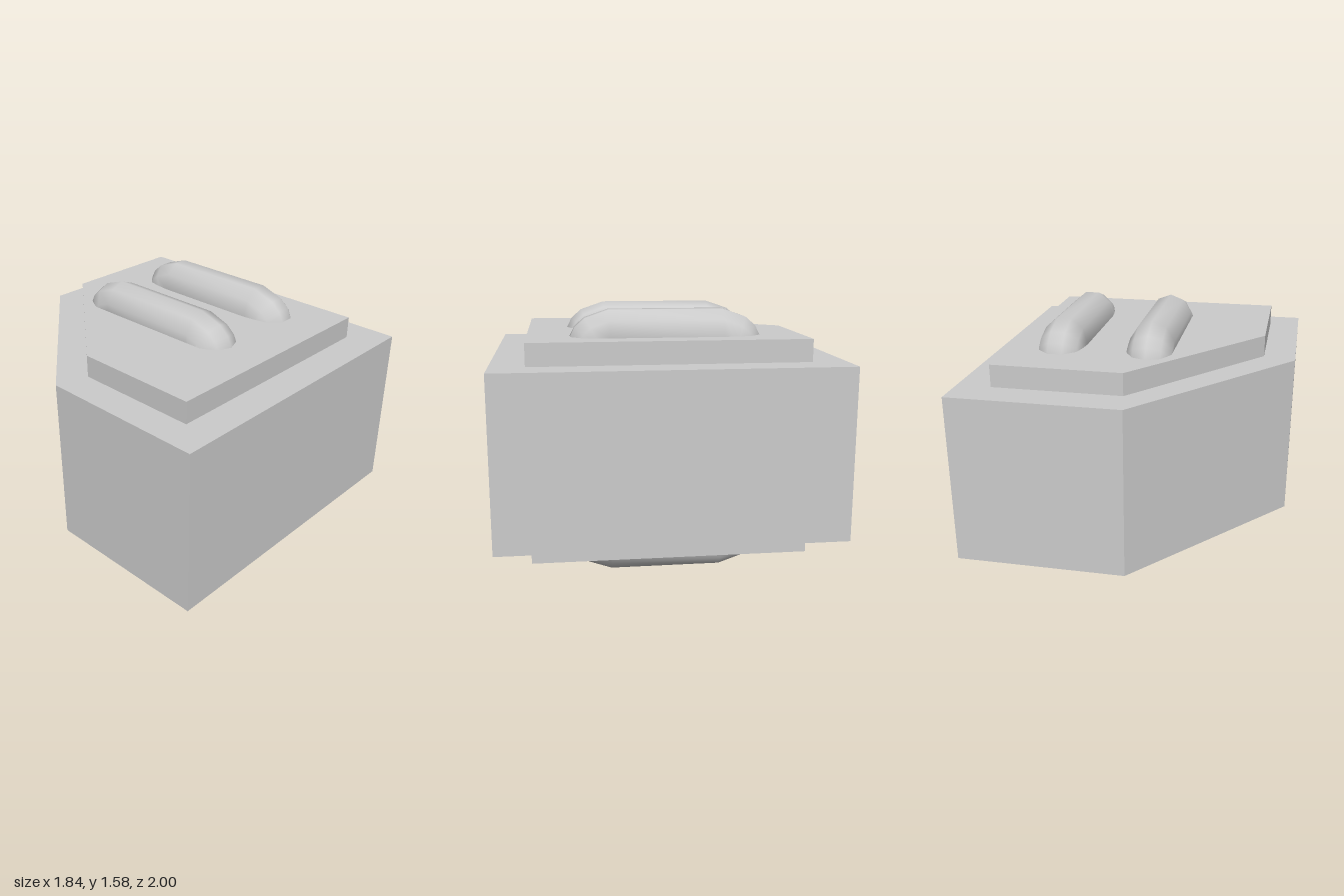
import * as THREE from 'three';

const grey = new THREE.MeshStandardMaterial({ color: 0xcccccc });
const MID = 0.79; // height of the horizontal symmetry plane

// Upright prism from a plan outline of [x, z] corners
function prism(name, outline, y0, y1) {
  const shape = new THREE.Shape(outline.map(([x, z]) => new THREE.Vector2(x, -z)));
  const geo = new THREE.ExtrudeGeometry(shape, { depth: y1 - y0, bevelEnabled: false });
  geo.rotateX(-Math.PI / 2);
  geo.translate(0, y0, 0);
  const mesh = new THREE.Mesh(geo, grey);
  mesh.name = name;
  return mesh;
}

// Rounded band running around the block in the yz plane; turn shifts its facets
function band(name, x, turn) {
  // Quarter of the outer path: z, height above the middle, outward tilt in degrees
  const quarter = [
    [0.33, 0.79, 0], [0.47, 0.742, 30], [0.53, 0.69, 50],
    [0.57, 0.61, 75], [0.58, 0.5, 90],
  ];
  const stations = [];
  for (const [sz, sy] of [[1, 1], [1, -1], [-1, -1], [-1, 1]]) {
    const part = quarter.map(([z, y, deg]) => {
      const a = THREE.MathUtils.degToRad(deg);
      return { z: z * sz, y: y * sy, nz: Math.sin(a) * sz, ny: Math.cos(a) * sy };
    });
    stations.push(...(sz * sy > 0 ? part : part.reverse()));
  }

  const sides = 10, rx = 0.138, depth = 0.16;
  const positions = [], index = [];
  stations.forEach((s, i) => {
    const next = (i + 1) % stations.length;
    for (let j = 0; j < sides; j++) {
      const a = ((j + turn) / sides) * Math.PI * 2;
      const inset = depth * (1 - Math.cos(a));
      positions.push(x + rx * Math.sin(a), MID + s.y - s.ny * inset, s.z - s.nz * inset);
      const k = (j + 1) % sides;
      const p = i * sides + j, q = next * sides + j;
      const r = i * sides + k, t = next * sides + k;
      index.push(p, q, r, q, t, r);
    }
  });
  const geo = new THREE.BufferGeometry();
  geo.setAttribute('position', new THREE.Float32BufferAttribute(positions, 3));
  geo.setIndex(index);
  geo.computeVertexNormals();
  const mesh = new THREE.Mesh(geo, grey);
  mesh.name = name;
  return mesh;
}

export function createModel() {
  const group = new THREE.Group();
  group.name = 'block';

  // Main body with one cut corner at the back right
  const body = [[-0.92, 1], [0.92, 1], [0.92, -1], [-0.07, -1], [-0.92, 0]];
  group.add(prism('body', body, 0.29, 1.29));

  // Smaller raised plates above and below
  const plate = [[-0.73, 0.8], [0.72, 0.8], [0.72, -0.8], [-0.03, -0.8], [-0.73, 0.05]];
  group.add(prism('topPlate', plate, 1.29, 1.42));
  group.add(prism('bottomPlate', plate, 0.16, 0.29));

  // Two rounded bands showing as ridges on both plates
  group.add(band('rightRidge', -0.1, 0));
  group.add(band('leftRidge', 0.425, 0.5));
  return group;
}
